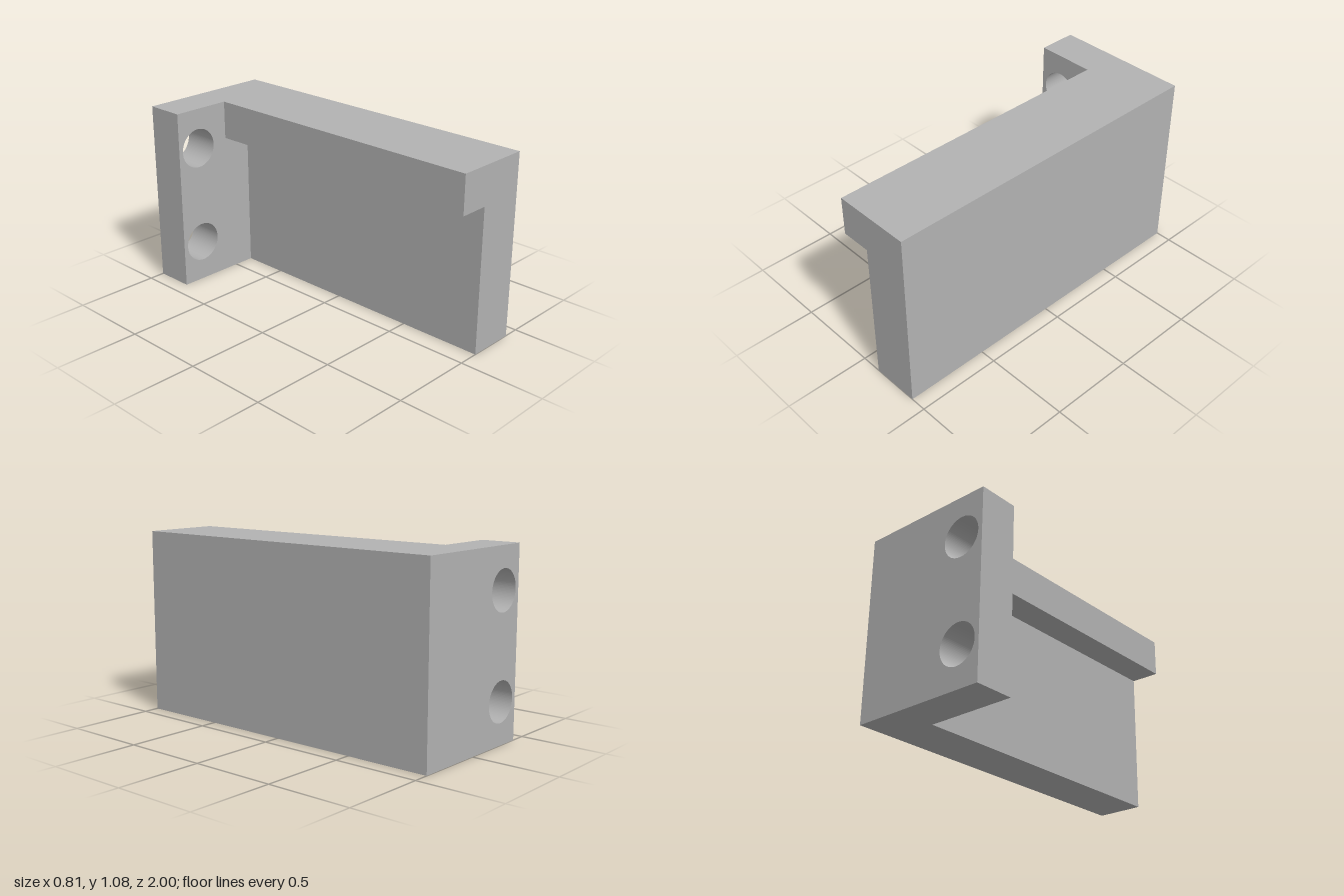
import * as THREE from 'three';

const HALF_W = 0.407, HEIGHT = 1.08, BACK = -1, PLATE_FRONT = -0.77, FRONT = 1;

// Straight-sided outline from corner points
const outline = (points) => new THREE.Shape(points.map(([x, y]) => new THREE.Vector2(x, y)));

// Extrude an x-y outline between two z positions
function prism(name, shape, z0, z1, material) {
  const geometry = new THREE.ExtrudeGeometry(shape, { depth: z1 - z0, bevelEnabled: false, curveSegments: 48 });
  geometry.translate(0, 0, z0);
  const mesh = new THREE.Mesh(geometry, material);
  mesh.name = name;
  return mesh;
}

export function createModel() {
  const group = new THREE.Group();
  group.name = 'bracket';
  const grey = new THREE.MeshStandardMaterial({ color: 0xb2b2b2 });
  grey.name = 'grey';

  // Rear mounting plate with two bolt holes
  const plate = outline([[-HALF_W, 0], [HALF_W, 0], [HALF_W, HEIGHT], [-HALF_W, HEIGHT]]);
  for (const y of [0.242, 0.841]) {
    const hole = new THREE.Path();
    hole.absarc(-0.264, y, 0.117, 0, Math.PI * 2, true);
    plate.holes.push(hole);
  }
  group.add(prism('mountingPlate', plate, BACK, PLATE_FRONT, grey));

  // Long arm: upright wall with a wider ledge along its top
  const arm = outline([
    [0.123, 0], [HALF_W, 0], [HALF_W, HEIGHT],
    [-0.054, HEIGHT], [-0.054, 0.855], [0.123, 0.855],
  ]);
  group.add(prism('ledgedArm', arm, PLATE_FRONT, FRONT, grey));

  return group;
}
